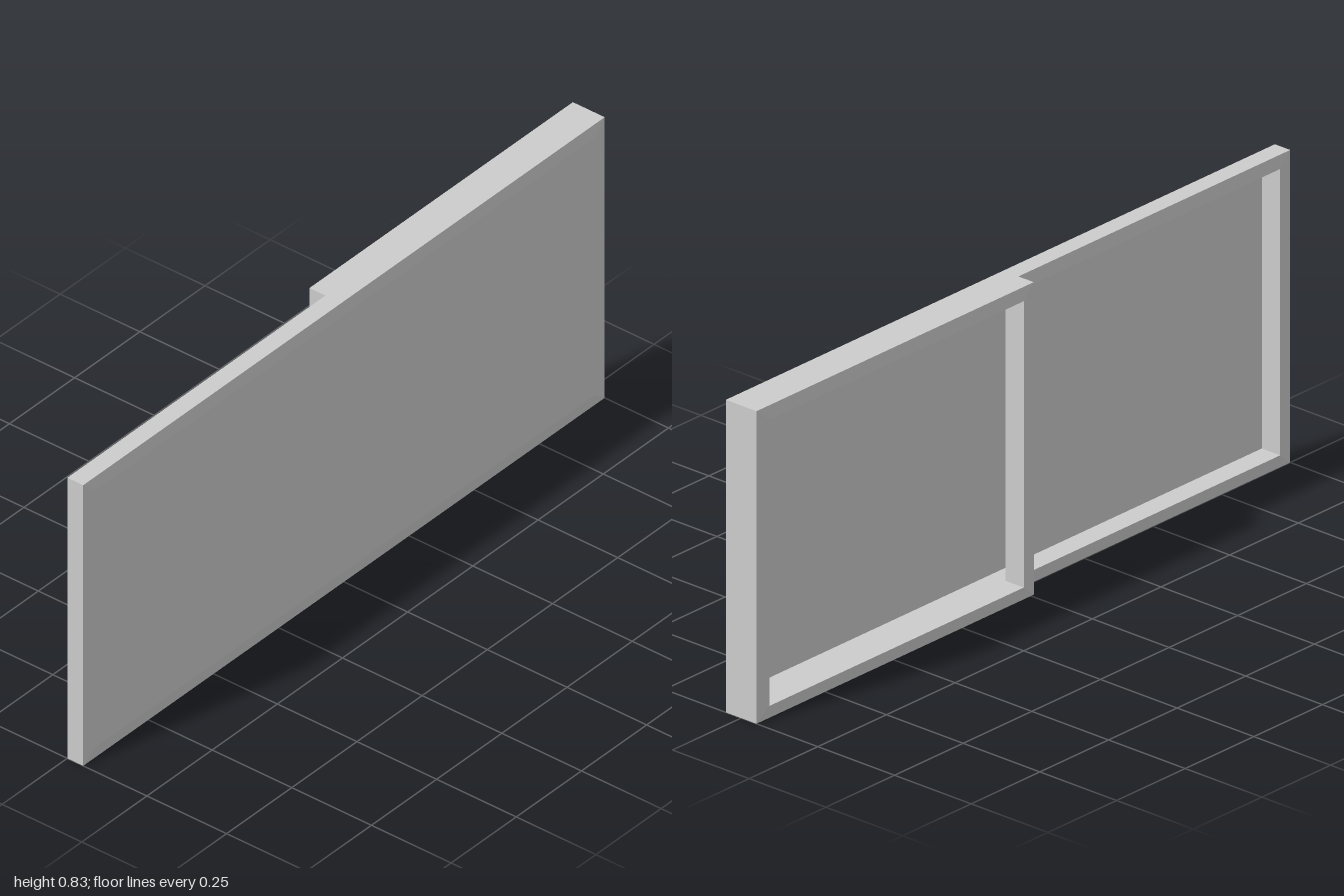
import * as THREE from 'three';

const HEIGHT = 0.835, RAIL = 0.035, STILE = 0.042, THICK = 0.05, BULGE = 0.005;

const material = new THREE.MeshStandardMaterial({
  color: 0xcccccc, flatShading: true, side: THREE.DoubleSide,
});

// Mitred frame with sloping faces: a closed cross-section swept round four corners
function frameGeometry(x0, z0, z1) {
  const profile = [
    [x0 + THICK, 0], [x0, 0], [x0 - BULGE, 1], [x0 + THICK + BULGE, 1],
  ];
  const corner = ([x, inset], k) => {
    const top = k % 4 < 2, front = k % 4 === 1 || k % 4 === 2;
    return [
      x,
      top ? HEIGHT - inset * RAIL : inset * RAIL,
      front ? z1 - inset * STILE : z0 + inset * STILE,
    ];
  };
  const points = [];
  profile.forEach((p, i) => {
    const q = profile[(i + 1) % profile.length];
    for (let k = 0; k < 4; k++) {
      const a = corner(p, k), b = corner(q, k), c = corner(q, k + 1), d = corner(p, k + 1);
      points.push(...a, ...b, ...c, ...a, ...c, ...d);
    }
  });
  const geometry = new THREE.BufferGeometry();
  geometry.setAttribute('position', new THREE.Float32BufferAttribute(points, 3));
  geometry.computeVertexNormals();
  return geometry;
}

function addMesh(group, name, geometry) {
  const mesh = new THREE.Mesh(geometry, material);
  mesh.name = name;
  group.add(mesh);
  return mesh;
}

export function createModel() {
  const group = new THREE.Group();
  group.name = 'slidingPanel';

  // Full-length frame, and the half-length open frame lying against it
  addMesh(group, 'longFrame', frameGeometry(0, -1, 1));
  addMesh(group, 'shortFrame', frameGeometry(-THICK, -1, 0.01));

  // Thin sheet closing the outer side of the long frame
  const sheet = addMesh(group, 'longPane',
    new THREE.PlaneGeometry(2 - 2 * STILE, HEIGHT - 2 * RAIL));
  sheet.rotation.y = Math.PI / 2;
  sheet.position.set(THICK + BULGE, HEIGHT / 2, 0);

  return group;
}
